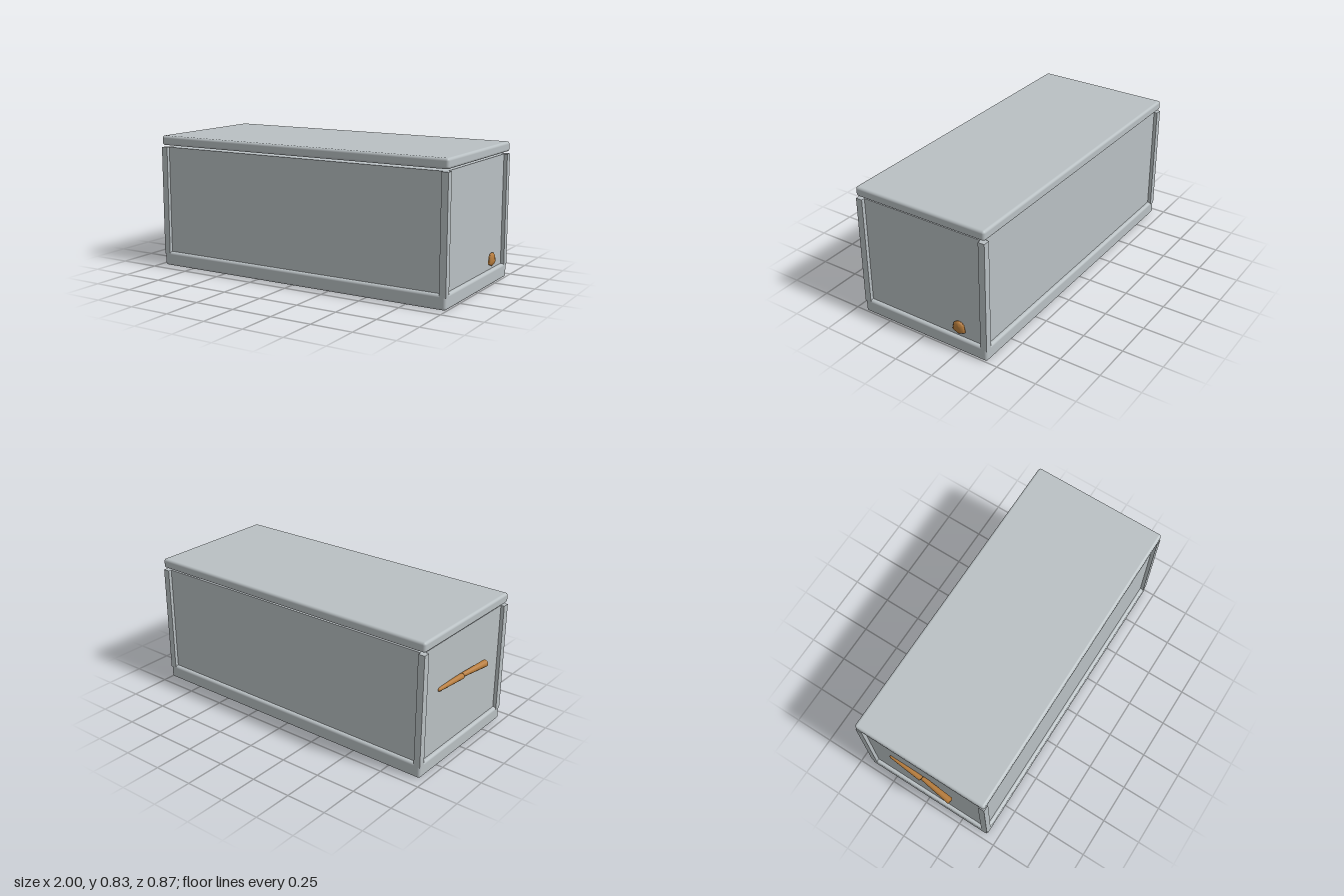
import * as THREE from 'three';
import { mergeVertices } from 'three/addons/utils/BufferGeometryUtils.js';
import { RoundedBoxGeometry } from 'three/addons/geometries/RoundedBoxGeometry.js';
import { ConvexGeometry } from 'three/addons/geometries/ConvexGeometry.js';

export function createModel() {
  const grey = new THREE.MeshStandardMaterial({ color: 0xb9c0c3 });
  grey.name = 'paleGrey';
  const brown = new THREE.MeshStandardMaterial({ color: 0xb87d3c });
  brown.name = 'woodBrown';

  const group = new THREE.Group();
  const add = (name, geometry, material, x, y, z) => {
    const mesh = new THREE.Mesh(geometry, material);
    mesh.name = name;
    mesh.position.set(x, y, z);
    group.add(mesh);
    return mesh;
  };

  // Overall box limits
  const x0 = -0.965, x1 = 0.998, halfZ = 0.433;
  const width = x1 - x0, cx = (x0 + x1) / 2;
  const post = 0.041, recess = 0.022;

  // Base and floating lid, both with rounded edges
  add('base', new RoundedBoxGeometry(width, 0.088, halfZ * 2, 3, 0.016), grey, cx, 0.044, 0);
  add('lid', new RoundedBoxGeometry(width, 0.06, halfZ * 2, 3, 0.016), grey, cx, 0.8, 0);

  // Recessed side panels
  const top = 0.757, bottom = 0.072, tall = top - bottom, cy = (top + bottom) / 2;
  add('panels', new THREE.BoxGeometry(width - recess * 2, tall, (halfZ - recess) * 2), grey, cx, cy, 0);

  // Corner posts
  for (const sx of [-1, 1]) {
    for (const sz of [-1, 1]) {
      add('cornerPost', new THREE.BoxGeometry(post, tall, post), grey,
        cx + sx * (width - post) / 2, cy, sz * (halfZ - post / 2));
    }
  }

  // Domed knob from shrinking copies of one outline (sideways, up)
  const outline = [[-0.043, -0.02], [-0.034, 0.024], [-0.018, 0.037], [0, 0.042], [0.018, 0.037],
    [0.034, 0.024], [0.043, -0.02], [0.028, -0.031], [0, -0.041], [-0.028, -0.031]];
  const points = [];
  for (const [depth, scale] of [[0, 0.95], [0.008, 1], [0.016, 0.8], [0.02, 0.4]]) {
    for (const [z, y] of outline) points.push(new THREE.Vector3(depth, y * scale, z * scale));
  }
  let knob = new ConvexGeometry(points);
  knob.deleteAttribute('normal');
  knob = mergeVertices(knob);
  knob.computeVertexNormals();
  add('knob', knob, brown, x1 - recess, 0.146, -0.237);

  // Handle of two tapered rods, each thicker towards the front
  const rod = (name, thin, thick, rThin, rThick) => {
    const a = new THREE.Vector3(...thin), b = new THREE.Vector3(...thick);
    const length = a.distanceTo(b), bevel = 0.007;
    const profile = [[0, 0], [rThin - 0.005, 0], [rThin, bevel], [rThick, length - bevel],
      [rThick - 0.006, length], [0, length]].map(([r, h]) => new THREE.Vector2(r, h));
    const mesh = add(name, new THREE.LatheGeometry(profile, 10), brown, ...thin);
    mesh.quaternion.setFromUnitVectors(new THREE.Vector3(0, 1, 0), b.sub(a).normalize());
  };
  rod('handleFront', [-0.952, 0.473, -0.015], [-0.978, 0.473, 0.2], 0.014, 0.022);
  rod('handleBack', [-0.942, 0.473, -0.25], [-0.958, 0.473, -0.018], 0.012, 0.018);

  return group;
}
